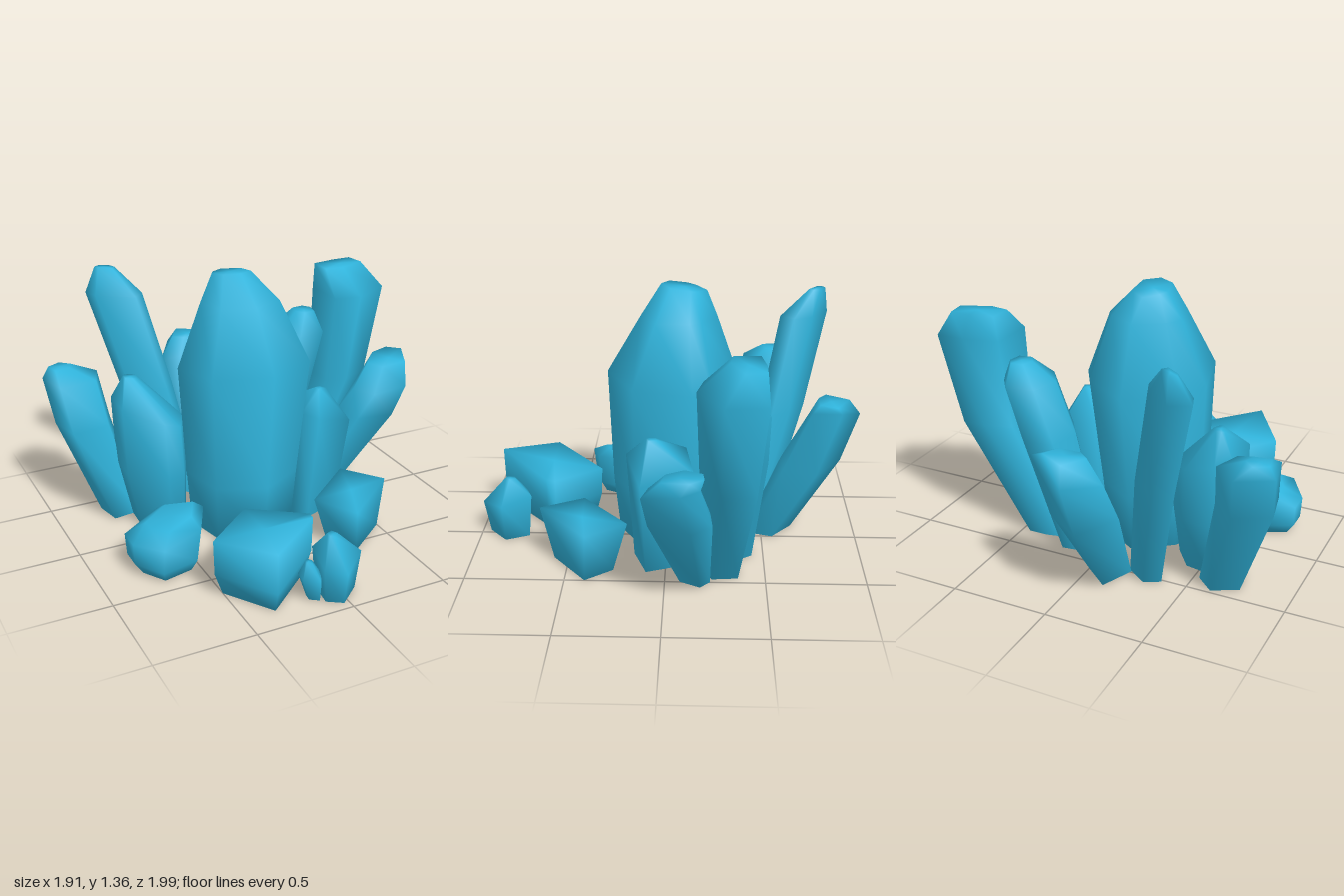
import * as THREE from 'three';

// Loft a plan outline through scaled, shifted, tilted rings, closed at both ends.
// outline: [x, z] corners turning from +x towards +z
// ring: [y, centreX, centreZ, scaleX, scaleZ, slopeX, slopeZ]
function loft(outline, rings) {
  const pos = [], index = [], sides = outline.length;
  for (const [y, cx, cz, sx, sz = sx, slopeX = 0, slopeZ = 0] of rings) {
    for (const [x, z] of outline) {
      const dx = x * sx, dz = z * sz;
      pos.push(cx + dx, y + slopeX * dx + slopeZ * dz, cz + dz);
    }
  }
  const lastRow = (rings.length - 1) * sides;
  const bottom = rings.length * sides, top = bottom + 1;
  for (const [y, cx, cz] of [rings[0], rings[rings.length - 1]]) pos.push(cx, y, cz);
  for (let i = 0; i < sides; i++) {
    const j = (i + 1) % sides;
    for (let r = 0; r < lastRow; r += sides) {
      const a = r + i, b = r + j, c = a + sides, d = b + sides;
      index.push(a, c, d, a, d, b);
    }
    index.push(bottom, i, j, top, lastRow + j, lastRow + i);
  }
  const geo = new THREE.BufferGeometry();
  geo.setAttribute('position', new THREE.Float32BufferAttribute(pos, 3));
  geo.setIndex(index);
  geo.computeVertexNormals();
  return geo;
}

export function createModel() {
  const group = new THREE.Group();
  group.name = 'crystalCluster';
  const crystalBlue = new THREE.MeshStandardMaterial({ color: 0x30b4dc });
  crystalBlue.name = 'crystalBlue';

  const add = (name, outline, rings) => {
    const mesh = new THREE.Mesh(loft(outline, rings), crystalBlue);
    mesh.name = name;
    group.add(mesh);
  };

  // Large upright crystal
  add('mainCrystal',
    [[0.3, 0.2], [0.03, 0.34], [-0.25, 0.23], [-0.315, -0.05], [-0.23, -0.18], [0.01, -0.34], [0.25, -0.2], [0.31, -0.1]],
    [[0, -0.115, -0.02, 0.78, 0.82], [0.3, -0.115, -0.02, 0.85, 0.91],
      [0.88, -0.095, -0.03, 1, 1, 0, 0.08], [1.2, -0.09, -0.055, 0.6, 0.57],
      [1.34, -0.12, -0.08, 0.28, 0.34, 0, 0.15]]);

  // Back crystals, leaning outward
  add('backCrystal',
    [[0.17, -0.04], [0.1, 0.1], [-0.08, 0.1], [-0.17, 0.03], [-0.05, -0.16]],
    [[0, -0.1, -0.52, 0.6, 0.9], [0.4, -0.07, -0.72, 0.95, 1.2],
      [0.69, -0.05, -0.84, 1, 1, 0.35], [0.76, -0.04, -0.84, 0.6]]);
  add('backLeaningCrystal',
    [[0.14, 0.06], [0.08, 0.13], [-0.1, 0], [-0.13, -0.08], [-0.03, -0.13], [0.1, -0.04]],
    [[0, -0.27, -0.45, 0.8], [0.6, -0.39, -0.61, 0.95],
      [1.1, -0.51, -0.72, 1], [1.23, -0.53, -0.79, 0.35]]);

  // Crystals on the -x side
  add('outerRightCrystal',
    [[0.15, -0.04], [0.1, 0.1], [-0.1, 0.13], [-0.14, -0.06], [0.03, -0.15]],
    [[0, -0.64, -0.37, 0.75], [0.5, -0.79, -0.47, 1],
      [0.73, -0.82, -0.55, 1], [0.79, -0.87, -0.58, 0.4]]);
  add('innerRightCrystal',
    [[0.19, -0.02], [0.09, 0.19], [0, 0.2], [-0.18, 0.06], [-0.17, -0.15], [-0.1, -0.21], [0.07, -0.18]],
    [[0, -0.48, -0.19, 0.75], [0.3, -0.495, -0.22, 0.97],
      [0.6, -0.505, -0.23, 0.97, 0.97, -0.35], [0.78, -0.58, -0.31, 0.18]]);

  // Crystals on the +x side
  add('tallLeftCrystal',
    [[0.17, 0.04], [-0.04, 0.16], [-0.18, 0.13], [-0.18, -0.12], [0, -0.16], [0.15, -0.16]],
    [[0, 0.36, -0.26, 0.65], [0.6, 0.66, -0.3, 0.82],
      [1.07, 0.73, -0.31, 1], [1.2, 0.69, -0.38, 0.7, 0.5]]);
  add('middleLeftCrystal',
    [[0.13, -0.05], [0.1, 0.12], [-0.06, 0.15], [-0.14, 0.03], [-0.1, -0.13], [0.06, -0.15]],
    [[0, 0.17, -0.32, 0.8], [0.6, 0.33, -0.35, 1],
      [0.87, 0.42, -0.36, 0.95], [0.97, 0.46, -0.37, 0.4]]);
  add('lowLeftCrystal',
    [[0.17, -0.07], [0.08, 0.13], [-0.12, 0.1], [-0.19, -0.03], [-0.06, -0.16], [0.08, -0.17]],
    [[0, 0.45, -0.14, 0.6, 0.5], [0.45, 0.7, -0.06, 1],
      [0.62, 0.77, -0.02, 0.9, 0.9, 0.2, -0.15], [0.72, 0.84, -0.08, 0.65, 0.65, 0.15, -0.1]]);
  add('smallLeftCrystal',
    [[0.15, 0.08], [-0.08, 0.16], [-0.15, 0.1], [-0.13, -0.14], [0.05, -0.18]],
    [[0, 0.28, 0.03, 0.85], [0.55, 0.33, 0.04, 1, 1, -0.35], [0.69, 0.33, 0.07, 0.15]]);

  // Broken stones around the front
  add('sideStone',
    [[0.2, -0.05], [0.11, 0.13], [-0.1, 0.18], [-0.2, 0.02], [-0.2, -0.1], [0.01, -0.2]],
    [[0, -0.63, 0.28, 0.72], [0.06, -0.63, 0.28, 0.92],
      [0.21, -0.62, 0.28, 1, 1, 0.2], [0.26, -0.6, 0.27, 0.6, 0.6, 0.3]]);
  add('blockStone',
    [[0.27, -0.04], [0.26, 0.01], [-0.07, 0.29], [-0.26, 0], [0.03, -0.27]],
    [[0, -0.285, 0.63, 0.83], [0.12, -0.29, 0.64, 0.98], [0.3, -0.29, 0.64, 1, 1, 0, 0.12]]);
  add('wedgeStone',
    [[0.22, -0.03], [-0.1, 0.23], [-0.22, 0.01], [0.07, -0.23]],
    [[0, 0.34, 0.42, 0.72, 0.68], [0.26, 0.32, 0.42, 1]]);
  add('pointedStone',
    [[0.12, 0], [-0.02, 0.12], [-0.11, 0.06], [-0.09, -0.1], [0.05, -0.15]],
    [[0, -0.01, 0.86, 0.8], [0.2, -0.01, 0.87, 1, 1, 0, -0.25], [0.31, -0.03, 0.84, 0.2]]);
  add('chipStone',
    [[0.06, 0], [0.02, 0.08], [-0.05, 0.03], [-0.04, -0.04], [0.02, -0.07]],
    [[0, -0.13, 0.84, 0.6], [0.12, -0.15, 0.84, 1], [0.19, -0.15, 0.83, 0.3]]);

  return group;
}
